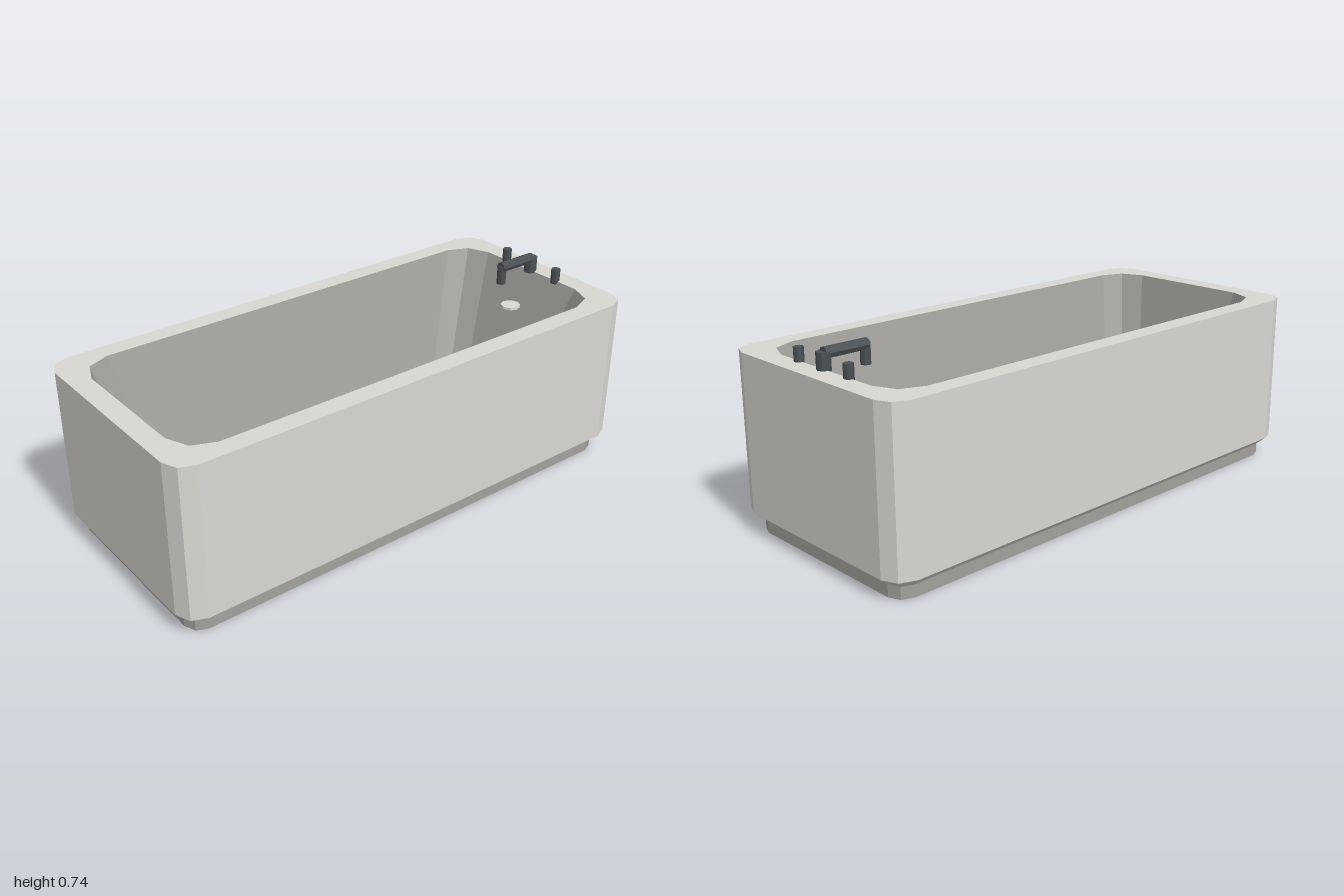
import * as THREE from 'three';

const mat = (name, color, extra = {}) => {
  const m = new THREE.MeshStandardMaterial({ color, flatShading: true, ...extra });
  m.name = name;
  return m;
};

// Rounded rectangle loop: two facets per corner, seen from above
function ring(y, hx, hz, r, cx = 0) {
  const pts = [];
  [[1, 1], [-1, 1], [-1, -1], [1, -1]].forEach(([sx, sz], q) => {
    for (let i = 0; i < 3; i++) {
      const a = q * Math.PI / 2 + i * Math.PI / 4;
      pts.push([cx + sx * (hx - r) + r * Math.cos(a), y, sz * (hz - r) + r * Math.sin(a)]);
    }
  });
  return pts;
}

// Skin between successive rings; optional caps close the first or last ring
function loft(rings, { capFirst = false, capLast = false } = {}) {
  const pos = [];
  const tri = (a, b, c) => pos.push(...a, ...b, ...c);
  for (let k = 0; k < rings.length - 1; k++) {
    const lo = rings[k], hi = rings[k + 1], n = lo.length;
    for (let i = 0; i < n; i++) {
      const j = (i + 1) % n;
      tri(lo[i], hi[i], hi[j]);
      tri(lo[i], hi[j], lo[j]);
    }
  }
  const cap = (p, flip) => {
    for (let i = 1; i < p.length - 1; i++) flip ? tri(p[0], p[i], p[i + 1]) : tri(p[0], p[i + 1], p[i]);
  };
  if (capFirst) cap(rings[0], true);
  if (capLast) cap(rings[rings.length - 1], false);
  const g = new THREE.BufferGeometry();
  g.setAttribute('position', new THREE.Float32BufferAttribute(pos, 3));
  g.computeVertexNormals();
  return g;
}

export function createModel() {
  const group = new THREE.Group();
  const enamel = mat('enamel', 0xd9d7d2);
  const shade = mat('shadedEnamel', 0xa3a19c);
  const drainMetal = mat('drainMetal', 0xd8d8d6);
  const darkMetal = mat('darkMetal', 0x4a5054);

  const add = (name, geometry, material, x = 0, y = 0, z = 0) => {
    const m = new THREE.Mesh(geometry, material);
    m.name = name;
    m.position.set(x, y, z);
    group.add(m);
    return m;
  };
  // Upright eight-sided post standing between two heights
  const post = (name, r, y0, y1, material, x, z = 0) =>
    add(name, new THREE.CylinderGeometry(r, r, y1 - y0, 8), material, x, (y0 + y1) / 2, z);

  // Recessed plinth
  add('plinth', loft([ring(0, 0.96, 0.4, 0.06), ring(0.045, 0.96, 0.4, 0.06)], { capFirst: true }), shade);

  // Outer shell with flared underside and flat rim
  const rimInner = ring(0.66, 0.92, 0.365, 0.12);
  add('shell', loft([
    ring(0.045, 0.96, 0.4, 0.06),
    ring(0.08, 1, 0.44, 0.08),
    ring(0.66, 1, 0.44, 0.08),
    rimInner,
  ]), enamel);

  // Basin, sloping more at the tap end
  add('basin', loft([rimInner, ring(0.16, 0.765, 0.245, 0.1, -0.035)], { capLast: true }), shade);

  // Drain and overflow discs
  add('drain', new THREE.CylinderGeometry(0.048, 0.048, 0.01, 10), drainMetal, 0.655, 0.165, 0);
  add('overflow', new THREE.CylinderGeometry(0.04, 0.04, 0.01, 8), drainMetal, 0.82, 0.53, 0);

  // Tap: riser, horizontal spout, outlet and two handles
  post('tapRiser', 0.025, 0.655, 0.72, darkMetal, 0.92);
  const spout = add('tapSpout', new THREE.CylinderGeometry(0.021, 0.021, 0.17, 8), darkMetal, 0.835, 0.714, 0);
  spout.rotation.z = Math.PI / 2;
  post('tapOutlet', 0.018, 0.645, 0.72, darkMetal, 0.757);
  for (const s of [-1, 1]) post('tapHandle', 0.018, 0.65, 0.71, darkMetal, 0.922, s * 0.136);

  return group;
}
